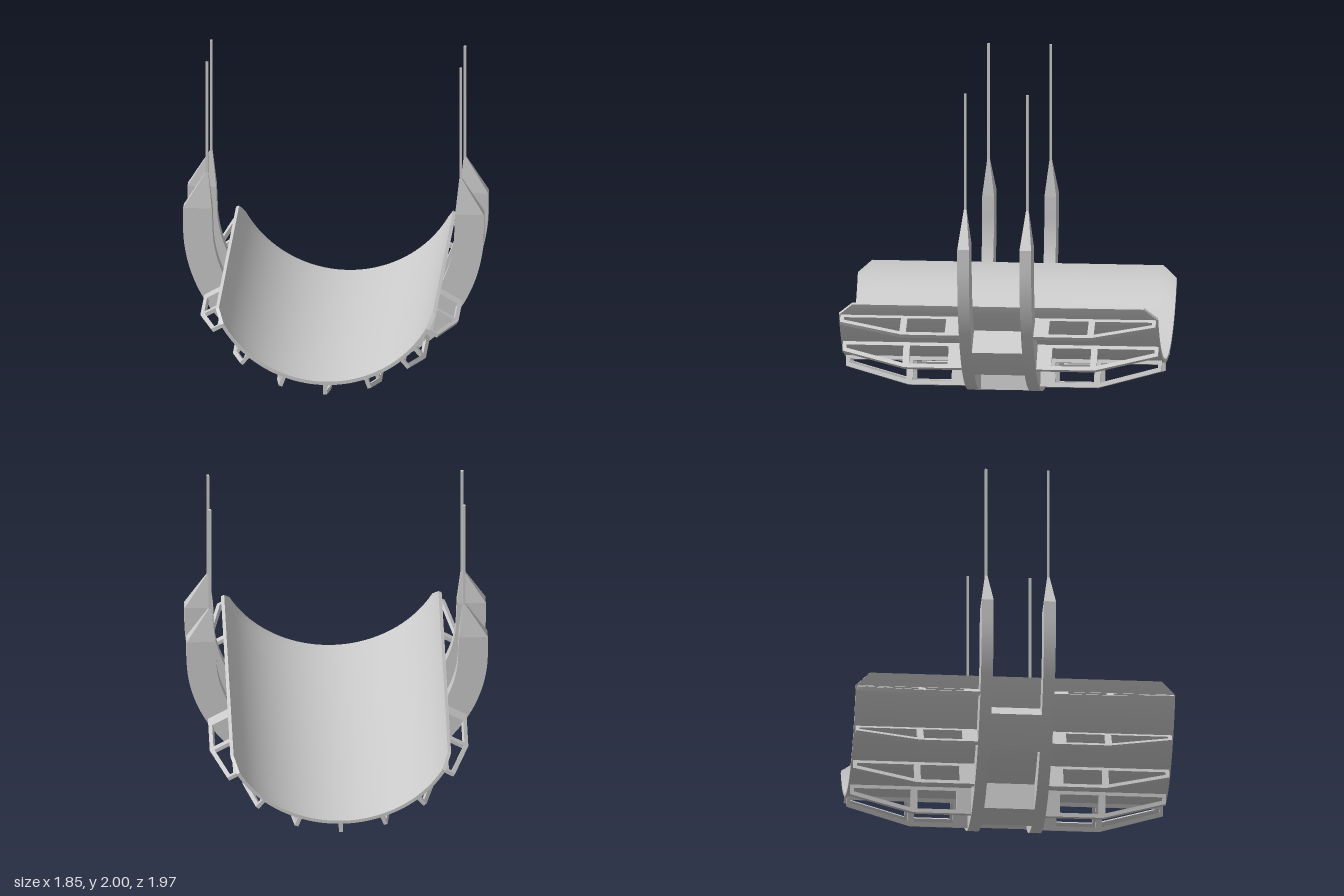
import * as THREE from 'three';
import { toCreasedNormals } from 'three/addons/utils/BufferGeometryUtils.js';

const CY = 0.93;                 // height of the cradle axis
const R_OUT = 0.927, R_IN = 0.745;
const RING_Z = 0.192, RING_W = 0.073;
const DEG = Math.PI / 180;
const grey = new THREE.MeshStandardMaterial({ color: 0xcccccc });

function part(name, geometry) {
  const mesh = new THREE.Mesh(toCreasedNormals(geometry, 30 * DEG), grey);
  mesh.name = name;
  return mesh;
}

// Extrudes a shape and centres it on its own plane
function slab(shape, depth) {
  const g = new THREE.ExtrudeGeometry(shape, { depth, bevelEnabled: false, curveSegments: 56 });
  return g.translate(0, 0, -depth / 2);
}

// Curved band around the axis; angles are measured from straight down
function sector(a0, a1, extraTop = 0) {
  const s = new THREE.Shape();
  const q = -Math.PI / 2;
  s.absarc(0, 0, R_OUT, q + a0, q + a1, false);
  if (extraTop) {
    s.lineTo(R_OUT, extraTop);
    s.lineTo(R_IN + 0.005, extraTop);
  }
  s.absarc(0, 0, R_IN, q + a1, q + a0, true);
  if (extraTop) {
    s.lineTo(-R_IN - 0.005, extraTop);
    s.lineTo(-R_OUT, extraTop);
  }
  s.closePath();
  return s;
}

// Thin curved trough with chamfered corners, made by bending a flat box
function shellGeometry() {
  const g = new THREE.BoxGeometry(2, 1, 3, 64, 1, 3);
  const p = g.attributes.position;
  for (let i = 0; i < p.count; i++) {
    const end = Math.abs(p.getZ(i)) > 1;
    const a = p.getX(i) * (end ? 60.8 : 67.2) * DEG;
    const r = p.getY(i) > 0 ? 0.715 : 0.737;
    const z = Math.sign(p.getZ(i)) * (end ? 0.985 : 0.9);
    p.setXYZ(i, r * Math.sin(a), CY - r * Math.cos(a), z);
  }
  return g;
}

// Pointed end of a ring, narrowing from the full section to the rod
function tipGeometry(side) {
  const g = new THREE.BoxGeometry(1, 1, 1);
  const p = g.attributes.position;
  for (let i = 0; i < p.count; i++) {
    const top = p.getY(i) > 0;
    const cx = side * (top ? 0.782 : (R_OUT + R_IN + 0.005) / 2);
    const w = top ? 0.016 : R_OUT - R_IN - 0.005;
    p.setXYZ(i, cx + p.getX(i) * w, top ? 1.275 : 1.05, p.getZ(i) * (top ? 0.016 : RING_W));
  }
  return g;
}

// Truss rib in (distance along the axis, radius) with two openings
function ribShape() {
  const pts = list => list.map(([x, y]) => new THREE.Vector2(x, y));
  const s = new THREE.Shape(pts([[0.22, 0.733], [0.975, 0.733], [0.975, 0.803], [0.585, 0.912], [0.22, 0.912]]));
  s.holes.push(new THREE.Path(pts([[0.32, 0.76], [0.32, 0.885], [0.56, 0.885], [0.56, 0.76]])));
  s.holes.push(new THREE.Path(pts([[0.6, 0.76], [0.6, 0.88], [0.952, 0.782], [0.952, 0.76]])));
  return s;
}

export function createModel() {
  const model = new THREE.Group();
  model.name = 'hangingCradle';
  model.add(part('troughShell', shellGeometry()));

  // Two hanging rings with tips and rods
  for (const [label, zs] of [['front', 1], ['back', -1]]) {
    const ring = new THREE.Group();
    ring.name = label + 'Ring';
    ring.position.z = zs * RING_Z;
    const band = part('ringBand', slab(sector(-Math.PI / 2, Math.PI / 2, 1.05 - CY), RING_W));
    band.position.y = CY;
    ring.add(band);
    for (const side of [1, -1]) {
      const word = side > 0 ? 'left' : 'right';
      ring.add(part(word + 'Tip', tipGeometry(side)));
      const rod = part(word + 'Rod', new THREE.BoxGeometry(0.016, 0.73, 0.016));
      rod.position.set(side * 0.782, 1.635, 0);
      ring.add(rod);
    }
    model.add(ring);
  }

  // Solid spacer blocks between the rings
  for (const a of [-45, 0, 45]) {
    const block = part('spacerBlock', slab(sector((a - 7.5) * DEG, (a + 7.5) * DEG), 2 * RING_Z - RING_W));
    block.position.y = CY;
    model.add(block);
  }

  // Truss ribs fanned under the shell, reaching out to both ends
  const ribGeo = slab(ribShape(), 0.024);
  for (let a = -60; a <= 60; a += 20) {
    const s = Math.sin(a * DEG), c = Math.cos(a * DEG);
    for (const e of [1, -1]) {
      const rib = part(e > 0 ? 'frontRib' : 'backRib', ribGeo);
      rib.quaternion.setFromRotationMatrix(new THREE.Matrix4().makeBasis(
        new THREE.Vector3(0, 0, e), new THREE.Vector3(s, -c, 0), new THREE.Vector3(e * c, e * s, 0)));
      rib.position.y = CY;
      model.add(rib);
    }
  }
  return model;
}
